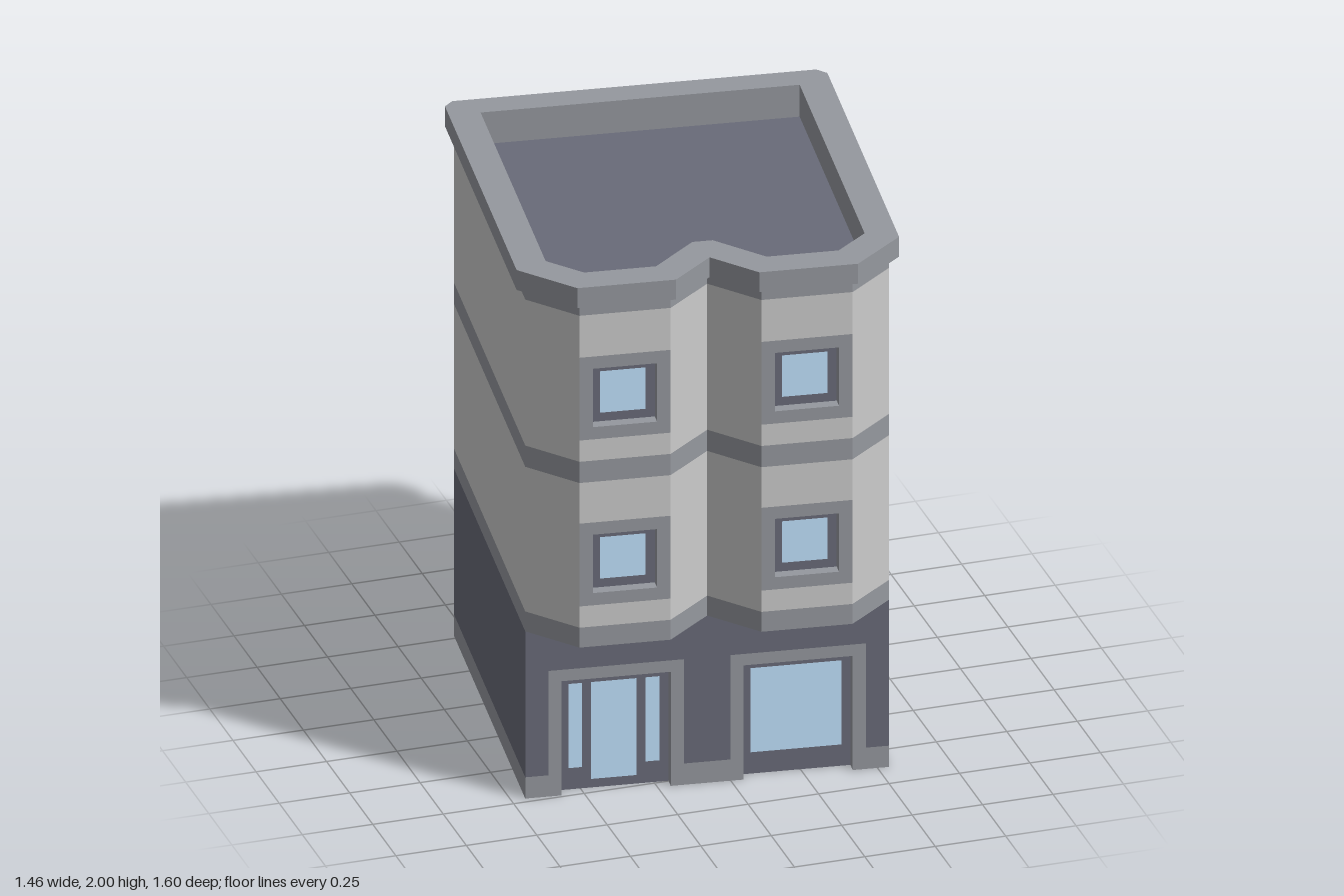
import * as THREE from 'three';

const material = (color) => new THREE.MeshStandardMaterial({ color, flatShading: true });
const WALL = material(0xcccccc);
const TRIM = material(0x95989e);
const DARK = material(0x696b79);
const GLASS = material(0xc1e2fd);
const HALF = 0.625;
const DEPTH = 0.04;

function addMesh(parent, name, geometry, mat) {
  const mesh = new THREE.Mesh(geometry, mat);
  mesh.name = name;
  parent.add(mesh);
  return mesh;
}

const polygon = (pts) => new THREE.Shape(pts.map(([x, y]) => new THREE.Vector2(x, y)));
const rect = (x0, x1, y0, y1) => polygon([[x0, y0], [x1, y0], [x1, y1], [x0, y1]]);

// Plan outline mirrored about x = 0; points run from the front middle round to the back.
const mirrored = (half) => [
  ...half,
  ...half.filter(([x]) => x > 0).reverse().map(([x, z]) => [-x, z]),
];

// Horizontal slab from a plan outline, with an optional well through it.
function slab(parent, name, mat, plan, y0, y1, well) {
  const flip = (pts) => pts.map(([x, z]) => [x, -z]);
  const shape = polygon(flip(plan));
  if (well) shape.holes.push(polygon(flip(well)));
  const geometry = new THREE.ExtrudeGeometry(shape, { depth: y1 - y0, bevelEnabled: false });
  geometry.rotateX(-Math.PI / 2).translate(0, y0, 0);
  return addMesh(parent, name, geometry, mat);
}

// Group whose x runs along the wall from a to b and whose z points outward.
function wallFrame(parent, name, a, b) {
  const frame = new THREE.Group();
  frame.name = name;
  frame.position.set((a[0] + b[0]) / 2, 0, (a[1] + b[1]) / 2);
  frame.rotation.y = Math.atan2(a[1] - b[1], b[0] - a[0]);
  parent.add(frame);
  return frame;
}

// Flat wall of rectangles left around openings { x, w, y0, y1 }, sorted by x.
function wallPanel(parent, name, mat, width, y0, y1, openings = []) {
  const pieces = [];
  const add = (x0, x1, b, t) => {
    if (x1 - x0 > 0.002 && t - b > 0.002) pieces.push(rect(x0, x1, b, t));
  };
  let x = -width / 2;
  for (const o of openings) {
    add(x, o.x - o.w / 2, y0, y1);
    x = o.x + o.w / 2;
    add(o.x - o.w / 2, x, y0, o.y0);
    add(o.x - o.w / 2, x, o.y1, y1);
  }
  add(x, width / 2, y0, y1);
  addMesh(parent, name, new THREE.ShapeGeometry(pieces), mat);
}

// Recessed frame with glass panes [x0, x1, y0, y1] set flush in it.
function glazing(parent, x, w, y0, y1, panes) {
  const frame = rect(x - w / 2, x + w / 2, y0, y1);
  const glass = panes.map(([a, b, c, d]) => rect(x + a, x + b, c, d));
  frame.holes.push(...panes.map(([a, b, c, d]) => rect(x + a, x + b, c, d)));
  const depth = 0.01;
  addMesh(parent, 'windowFrame', new THREE.ExtrudeGeometry(frame, { depth, bevelEnabled: false }), DARK)
    .position.z = -DEPTH - depth;
  addMesh(parent, 'glass', new THREE.ShapeGeometry(glass), GLASS).position.z = -DEPTH;
}

function surround(parent, shape) {
  addMesh(parent, 'surround', new THREE.ExtrudeGeometry(shape, { depth: DEPTH, bevelEnabled: false }), TRIM)
    .position.z = -DEPTH;
}

// Square upper-floor window with a flush surround.
function squareWindow(parent, x, y) {
  const r = 0.156, o = 0.11, g = 0.078;
  const shape = rect(x - r, x + r, y - r, y + r);
  shape.holes.push(rect(x - o, x + o, y - o, y + o));
  surround(parent, shape);
  glazing(parent, x, 2 * o, y - o, y + o, [[-g, g, y - g, y + g]]);
}

export function createModel() {
  const model = new THREE.Group();
  model.name = 'building';
  const house = new THREE.Group();
  house.name = 'turnedBuilding';
  house.rotation.y = -0.1244;
  house.position.set(-0.003, 0, -0.0675);
  model.add(house);

  // Plinth, notched at the door and the shop window
  const front = [[-HALF, HALF]];
  const inner = HALF - DEPTH - 0.01;
  for (const x of [-0.3125, 0.3125]) {
    front.push([x - 0.1875, HALF], [x - 0.1875, inner], [x + 0.1875, inner], [x + 0.1875, HALF]);
  }
  slab(house, 'plinth', TRIM, [...front, [HALF, HALF], [HALF, -HALF], [-HALF, -HALF]], 0, 0.08);

  // Ground floor walls
  const corners = [[-HALF, HALF], [HALF, HALF], [HALF, -HALF], [-HALF, -HALF]];
  corners.forEach((a, i) => {
    const frame = wallFrame(house, 'groundFloorSide', a, corners[(i + 1) % 4]);
    const openings = i ? [] : [-0.3125, 0.3125].map((x) => ({ x, w: 0.466, y0: 0.08, y1: 0.473 }));
    wallPanel(frame, 'groundFloorWall', DARK, 2 * HALF, 0.08, 0.63, openings);
    for (const { x } of openings) {
      const outer = 0.233, gap = 0.1875;
      surround(frame, polygon([
        [x - outer, 0.08], [x - gap, 0.08], [x - gap, 0.43], [x + gap, 0.43],
        [x + gap, 0.08], [x + outer, 0.08], [x + outer, 0.473], [x - outer, 0.473],
      ]));
      const panes = x < 0
        ? [[-0.156, -0.109, 0.08, 0.397], [-0.078, 0.078, 0.032, 0.397], [0.109, 0.156, 0.08, 0.397]]
        : [[-0.156, 0.156, 0.08, 0.397]];
      glazing(frame, x, 2 * gap, 0, 0.43, panes);
    }
  });

  // Upper floors with two splayed bays
  const upper = mirrored([[0, HALF], [0.156, 0.781], [0.469, 0.781], [HALF, HALF], [HALF, -HALF]]);
  const well = mirrored([[0.035, 0.542], [0.19, 0.699], [0.437, 0.699], [0.548, 0.589], [0.548, -0.555]]);
  slab(house, 'lowerBand', TRIM, upper, 0.63, 0.705);
  slab(house, 'middleBand', TRIM, upper, 1.25, 1.33);
  slab(house, 'parapet', TRIM, upper, 1.88, 1.925, well);

  // Window offset along each wall that has one, by wall index
  const windowAt = { 1: 0, 3: 0.3125, 4: 0.3125, 7: 0 };
  upper.forEach((a, i) => {
    const b = upper[(i + 1) % upper.length];
    const width = Math.hypot(b[0] - a[0], b[1] - a[1]);
    const frame = wallFrame(house, 'upperSide', a, b);
    for (const [y0, y1, y] of [[0.705, 1.25, 0.941], [1.33, 1.88, 1.566]]) {
      const x = windowAt[i];
      const openings = x === undefined ? [] : [{ x, w: 0.312, y0: y - 0.156, y1: y + 0.156 }];
      wallPanel(frame, 'upperWall', WALL, width, y0, y1, openings);
      if (openings.length) squareWindow(frame, x, y);
    }
  });

  // Sunken roof and projecting cornice
  const roof = mirrored([[0.035, 0.542], [0.19, 0.699], [0.437, 0.699], [0.548, 0.589], [0.548, -0.555]]);
  slab(house, 'roof', DARK, roof, 1.86, 1.88);
  const cornice = mirrored([
    [0, 0.667], [0.143, 0.811], [0.482, 0.811], [0.657, 0.637], [0.657, -HALF], [HALF, -0.658],
  ]);
  slab(house, 'cornice', TRIM, cornice, 1.925, 2, well);
  return model;
}
